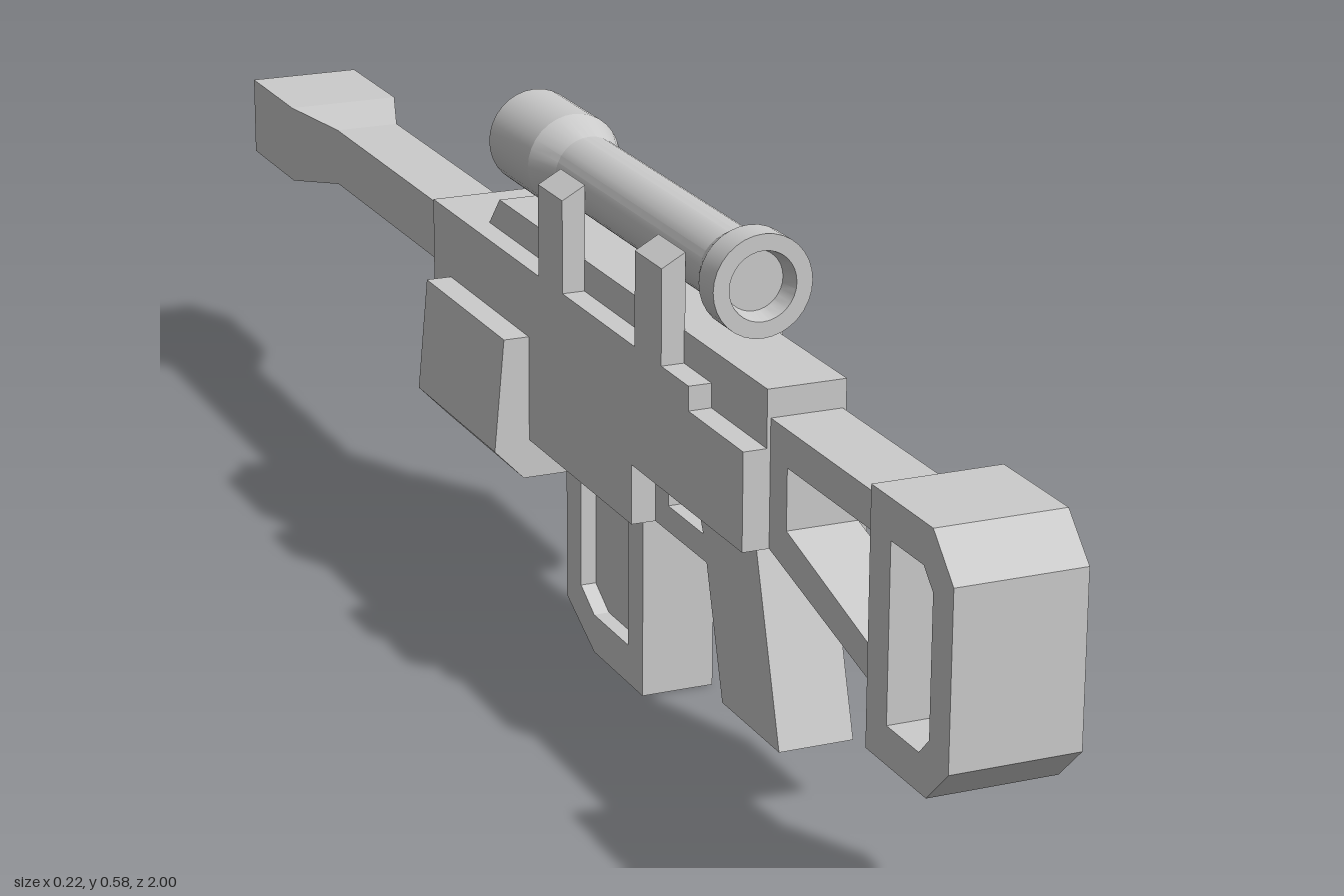
import * as THREE from 'three';
import { toCreasedNormals } from 'three/addons/utils/BufferGeometryUtils.js';

const material = new THREE.MeshStandardMaterial({ color: 0xcccccc });
const toPoints = (list) => list.map(([a, b]) => new THREE.Vector2(a, b));

function extrude(points, depth, hole) {
  const shape = new THREE.Shape(toPoints(points));
  if (hole) shape.holes.push(new THREE.Path(toPoints(hole)));
  return new THREE.ExtrudeGeometry(shape, { depth, bevelEnabled: false });
}

// Side profile given as [z, y], extruded across x from x0 to x1
const sideSlab = (points, x0, x1, hole) =>
  extrude(points, x1 - x0, hole).rotateY(-Math.PI / 2).translate(x1, 0, 0);

// Front profile given as [x, y], extruded along z from z0 to z1
const frontSlab = (points, z0, z1, hole) => extrude(points, z1 - z0, hole).translate(0, 0, z0);

const rect = (a0, b0, a1, b1) => [[a0, b0], [a1, b0], [a1, b1], [a0, b1]];

export function createModel() {
  const model = new THREE.Group();
  const add = (name, geometry) => {
    const mesh = new THREE.Mesh(geometry, material);
    mesh.name = name;
    model.add(mesh);
  };

  // Butt: chamfered block with a window through it
  add('buttStock', sideSlab(
    [[0.83, 0.187], [0.957, 0.187], [1, 0.228], [1, 0.413], [0.957, 0.456], [0.83, 0.456]], -0.07, 0.07,
    [[0.873, 0.227], [0.94, 0.227], [0.96, 0.247], [0.96, 0.394], [0.94, 0.414], [0.873, 0.414]]));

  // Open frame joining butt and receiver
  add('stockFrame', sideSlab(
    [[0.83, 0.425], [0.545, 0.425], [0.545, 0.285], [0.83, 0.217], [0.83, 0.252],
      [0.585, 0.318], [0.585, 0.385], [0.83, 0.385]], -0.04, 0.04));

  // Receiver: solid core plus an outer skin cut by the ejection port
  const receiver = [[-0.33, 0.217], [0.263, 0.217], [0.263, 0.285], [0.545, 0.285],
    [0.545, 0.393], [0.41, 0.393], [0.41, 0.42], [-0.33, 0.42]];
  add('receiverCore', sideSlab(receiver, -0.07, 0.05));
  add('receiverSkin', sideSlab(receiver, 0.05, 0.07,
    [[0.035, 0.34], [0.24, 0.34], [0.24, 0.398], [0.02, 0.398], [0.02, 0.352]]));
  add('boltHandle', sideSlab(rect(0.04, 0.358, 0.09, 0.381), 0.045, 0.066));

  // Narrow top rail with a sloped nose
  add('topRail', sideSlab([[-0.22, 0.415], [0.545, 0.385], [0.545, 0.456], [-0.183, 0.456]], -0.044, 0.044));

  // Fore-end cover wrapped round the underside
  add('foreEnd', frontSlab(
    [[-0.077, 0.172], [0.077, 0.172], [0.112, 0.208], [0.1, 0.34], [-0.1, 0.34], [-0.112, 0.208]],
    -0.275, -0.03));

  // Grip and trigger guard
  add('grip', sideSlab([[0.58, 0.075], [0.515, 0.29], [0.375, 0.29], [0.44, 0.075]], -0.042, 0.042));
  add('triggerGuard', sideSlab(
    [[0.41, 0.217], [0.375, 0.288], [0.26, 0.288], [0.26, 0.217]], -0.042, 0.042,
    [[0.388, 0.246], [0.37, 0.283], [0.297, 0.283], [0.297, 0.246]]));

  // Magazine: core with a raised border on each side
  const magazine = [[0.23, 0], [0.093, 0], [0.013, 0.04], [0.013, 0.217], [0.23, 0.217]];
  const border = [[0.23, 0], [0.093, 0], [0.013, 0.04], [0.013, 0.217], [0.055, 0.217],
    [0.055, 0.067], [0.093, 0.045], [0.19, 0.045], [0.19, 0.217], [0.23, 0.217]];
  add('magazineCore', sideSlab(magazine, -0.024, 0.024));
  add('magazineBorderLeft', sideSlab(border, 0.024, 0.042));
  add('magazineBorderRight', sideSlab(border, -0.042, -0.024));

  // Square barrel, flare and hollow muzzle
  add('barrel', frontSlab(rect(-0.04, 0.322, 0.04, 0.393), -0.76, -0.32));
  const flare = new THREE.BoxGeometry(2, 2, 0.09);
  const p = flare.attributes.position;
  for (let i = 0; i < p.count; i++) {
    const wide = p.getZ(i) < 0;
    const top = p.getY(i) > 0;
    p.setX(i, Math.sign(p.getX(i)) * (wide ? 0.07 : 0.04));
    p.setY(i, wide ? (top ? 0.403 : 0.306) : (top ? 0.393 : 0.322));
  }
  flare.computeVertexNormals();
  add('muzzleFlare', flare.translate(0, 0, -0.8));
  add('muzzle', frontSlab(rect(-0.07, 0.306, 0.07, 0.403), -1, -0.845, rect(-0.042, 0.328, 0.042, 0.381)));

  // Paired scope mounts
  for (const [name, z] of [['rearMount', 0.27], ['frontMount', 0]]) {
    for (const s of [1, -1]) {
      const post = [[0.043, 0.41], [0.07, 0.41], [0.07, 0.526], [0.043, 0.541]].map(([x, y]) => [s * x, y]);
      add(name + (s > 0 ? 'Left' : 'Right'), frontSlab(post, z, z + 0.07));
    }
  }

  // Scope: turned tube with recessed lenses at both ends
  const scope = new THREE.LatheGeometry(toPoints([
    [0, -0.155], [0.038, -0.155], [0.038, -0.183], [0.056, -0.183], [0.056, -0.065], [0.041, -0.02],
    [0.041, 0.37], [0.056, 0.402], [0.056, 0.438], [0.038, 0.438], [0.033, 0.415], [0, 0.415],
  ]), 32).rotateX(Math.PI / 2).translate(0, 0.527, 0);
  add('scope', toCreasedNormals(scope, 0.3));

  return model;
}
